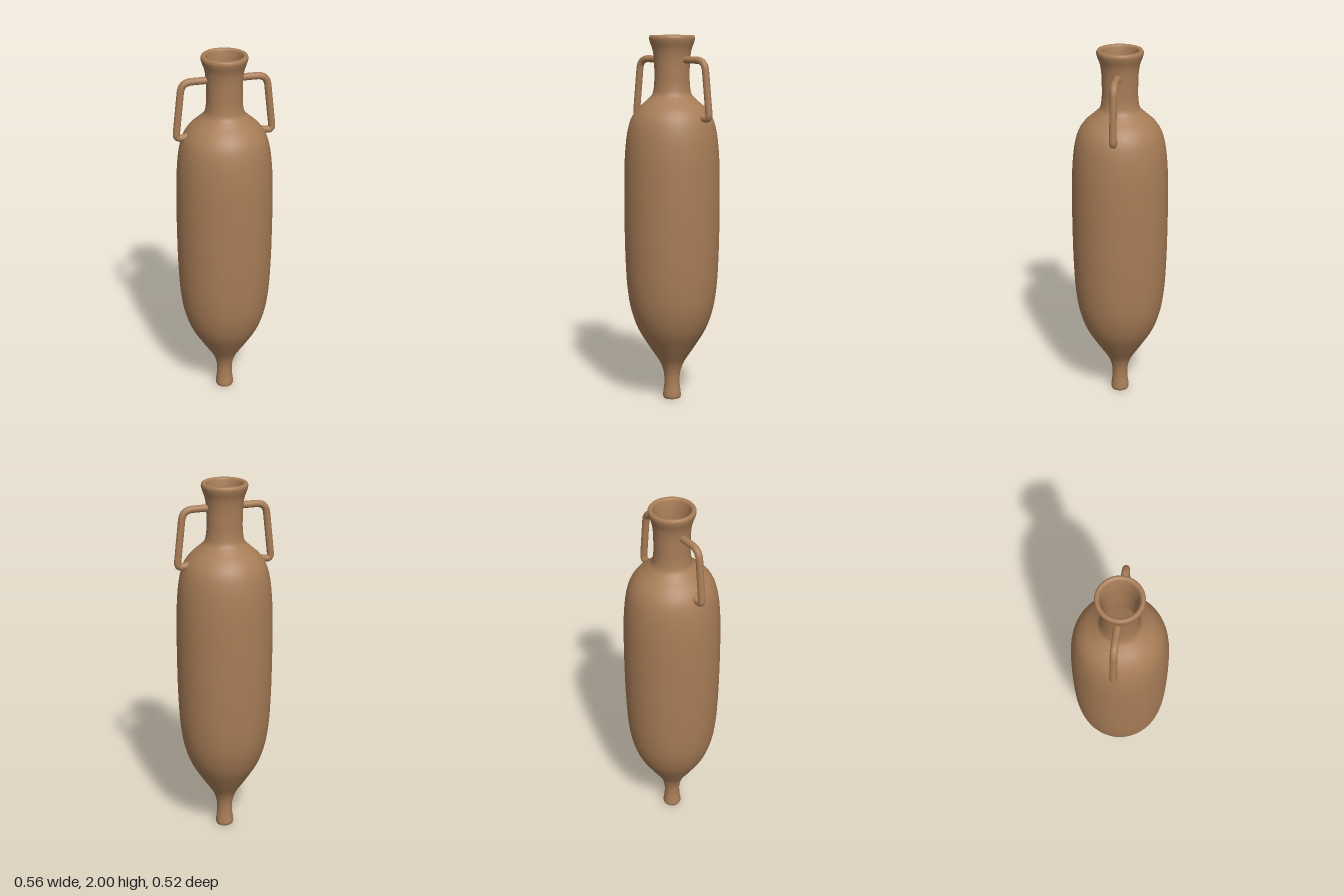
import * as THREE from 'three';

const clay = new THREE.MeshStandardMaterial({ color: 0xa87d57 });
clay.name = 'clay';

// Smooth curve through [radius, height] pairs, returned as lathe points
function smoothProfile(pairs, divisions) {
  const curve = new THREE.CatmullRomCurve3(pairs.map(([r, y]) => new THREE.Vector3(r, y, 0)));
  return curve.getPoints(divisions).map((p) => new THREE.Vector2(Math.max(p.x, 0), p.y));
}

function lathe(name, points) {
  const mesh = new THREE.Mesh(new THREE.LatheGeometry(points, 64), clay);
  mesh.name = name;
  return mesh;
}

// Tube with straight runs and rounded corners; each corner is [x, y, radius]
function handleGeometry(start, corners, end) {
  const path = new THREE.CurvePath();
  const v = ([x, y]) => new THREE.Vector3(x, y, 0);
  let from = v(start);
  corners.forEach((corner, i) => {
    const c = v(corner);
    const next = v(corners[i + 1] ?? end);
    const enter = c.clone().add(from.clone().sub(c).setLength(corner[2]));
    const leave = c.clone().add(next.clone().sub(c).setLength(corner[2]));
    path.add(new THREE.LineCurve3(from, enter));
    path.add(new THREE.QuadraticBezierCurve3(enter, c, leave));
    from = leave;
  });
  path.add(new THREE.LineCurve3(from, v(end)));
  return new THREE.TubeGeometry(path, 90, 0.019, 16);
}

export function createModel() {
  const model = new THREE.Group();
  model.name = 'amphora';

  // Outer wall from the peg foot up to the flared lip
  const outer = smoothProfile([
    [0.046, 0], [0.05, 0.012], [0.048, 0.035], [0.043, 0.08], [0.045, 0.14], [0.064, 0.2],
    [0.125, 0.295], [0.188, 0.4], [0.226, 0.51], [0.245, 0.63], [0.255, 0.8], [0.259, 1.0],
    [0.259, 1.2], [0.254, 1.37], [0.24, 1.49], [0.219, 1.56], [0.185, 1.61], [0.135, 1.655],
    [0.107, 1.685], [0.097, 1.73], [0.095, 1.8], [0.097, 1.87], [0.105, 1.925],
    [0.119, 1.965], [0.123, 1.985], [0.118, 1.998], [0.109, 2.0],
  ], 160);
  model.add(lathe('outerWall', outer));

  // Inner wall from the lip down to the hollow floor
  const inner = smoothProfile([
    [0.109, 2.0], [0.1, 1.995], [0.094, 1.975], [0.087, 1.93], [0.083, 1.87], [0.083, 1.73],
    [0.094, 1.67], [0.17, 1.6], [0.222, 1.49], [0.244, 1.2], [0.24, 0.8], [0.21, 0.51],
    [0.11, 0.3], [0, 0.22],
  ], 100);
  model.add(lathe('innerWall', inner));

  // Underside of the foot
  model.add(lathe('footBase', [new THREE.Vector2(0, 0), new THREE.Vector2(0.046, 0)]));

  // Mirrored handles from neck to shoulder
  const geometry = handleGeometry([0.09, 1.871], [[0.228, 1.871, 0.055], [0.262, 1.56, 0.035]], [0.195, 1.572]);
  for (const [name, turn] of [['leftHandle', 0], ['rightHandle', Math.PI]]) {
    const handle = new THREE.Mesh(geometry, clay);
    handle.name = name;
    handle.rotation.y = turn;
    model.add(handle);
  }
  return model;
}
